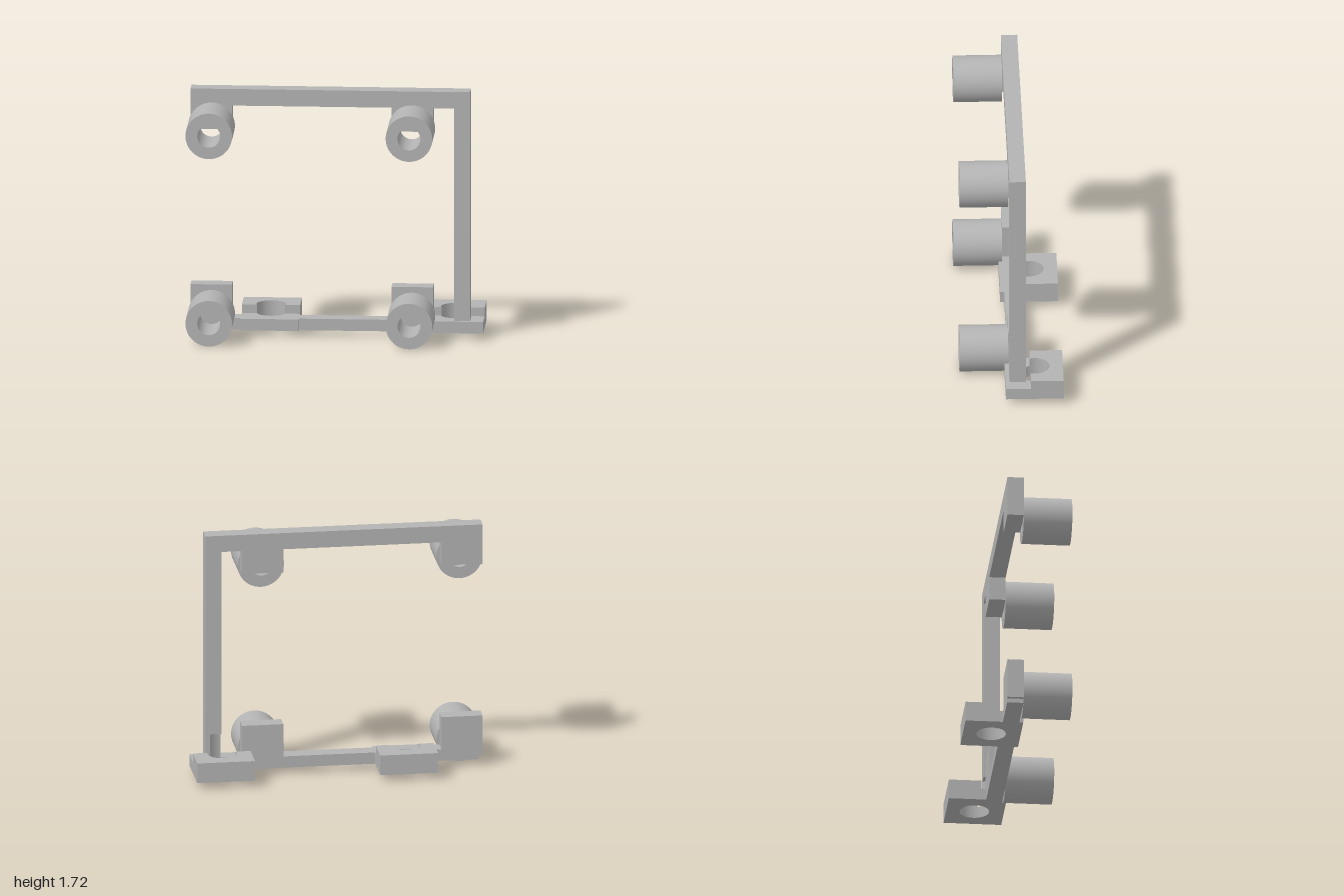
import * as THREE from 'three';
import { toCreasedNormals } from 'three/addons/utils/BufferGeometryUtils.js';

export function createModel() {
  const model = new THREE.Group();
  model.name = 'bracketFrame';
  const grey = new THREE.MeshStandardMaterial({ color: 0xb3b3b3 });
  grey.name = 'plain grey';

  const BACK = -0.093, FRONT = 0.018; // depth of the frame bars
  const HOLE_R = 0.1, HOLE_Z = -0.155; // screw holes in the feet

  function add(name, geometry) {
    const mesh = new THREE.Mesh(geometry, grey);
    mesh.name = name;
    model.add(mesh);
    return mesh;
  }

  function box(name, x0, x1, y0, y1, z0 = BACK, z1 = FRONT) {
    add(name, new THREE.BoxGeometry(x1 - x0, y1 - y0, z1 - z0))
      .position.set((x0 + x1) / 2, (y0 + y1) / 2, (z0 + z1) / 2);
  }

  function extrude(shape, depth) {
    const g = new THREE.ExtrudeGeometry(shape, { depth, bevelEnabled: false, curveSegments: 40 });
    return toCreasedNormals(g, 0.6);
  }

  // plan outline (x, -z) raised from y0 to y1
  function slab(name, shape, y0, y1) {
    add(name, extrude(shape, y1 - y0).rotateX(-Math.PI / 2).translate(0, y0, 0));
  }

  // frame: top rail, post and the bottom rail between the feet
  box('topRail', -0.985, 0.91, 1.605, 1.72);
  box('post', 0.8, 0.91, 0.31, 1.605);
  box('bottomRailEnd', -0.96, -0.645, 0.05, 0.13);
  box('bottomRail', -0.25, 0.605, 0.05, 0.13);

  // foot of the post, with the screw clearance cut from its corner
  const dy = -HOLE_Z + BACK;
  const dx = Math.sqrt(HOLE_R ** 2 - dy ** 2);
  const postFoot = new THREE.Shape();
  postFoot.moveTo(0.8, -FRONT);
  postFoot.lineTo(0.91, -FRONT);
  postFoot.lineTo(0.91, -BACK);
  postFoot.lineTo(0.8 + dx, -BACK);
  postFoot.absarc(0.8, -HOLE_Z, HOLE_R, Math.atan2(-dy, dx), -Math.PI / 2, true);
  postFoot.closePath();
  slab('postFoot', postFoot, 0.13, 0.31);

  // mounting feet: drilled plate with a notched raised pad at the back
  for (const cx of [-0.4475, 0.8025]) {
    const h = 0.1975, zBack = 0.347, zPad = 0.125;
    const plate = new THREE.Shape();
    plate.moveTo(cx - h, -0.045);
    plate.lineTo(cx + h, -0.045);
    plate.lineTo(cx + h, zBack);
    plate.lineTo(cx - h, zBack);
    plate.closePath();
    const hole = new THREE.Path();
    hole.absarc(cx, -HOLE_Z, HOLE_R, 0, Math.PI * 2, true);
    plate.holes.push(hole);
    slab('footPlate', plate, 0.05, 0.13);

    const a = Math.asin((zPad + HOLE_Z) / HOLE_R);
    const c = HOLE_R * Math.cos(a);
    const pad = new THREE.Shape();
    pad.moveTo(cx + c, zPad);
    pad.lineTo(cx + h, zPad);
    pad.lineTo(cx + h, zBack);
    pad.lineTo(cx - h, zBack);
    pad.lineTo(cx - h, zPad);
    pad.lineTo(cx - c, zPad);
    pad.absarc(cx, -HOLE_Z, HOLE_R, Math.PI - a, a, true);
    slab('footPad', pad, 0.13, 0.19);
  }

  // four hollow standoffs, each carried by a backing block
  for (const [x0, cx] of [[-0.985, -0.842], [0.377, 0.515]]) {
    for (const [y0, cy] of [[0.08, 0.163], [1.44, 1.466]]) {
      box('standoffBlock', x0, x0 + 0.281, y0, y0 + 0.28);
      const ring = new THREE.Shape();
      ring.absarc(0, 0, 0.158, 0, Math.PI * 2, false);
      const bore = new THREE.Path();
      bore.absarc(0, 0, 0.078, 0, Math.PI * 2, true);
      ring.holes.push(bore);
      add('standoff', extrude(ring, 0.347 - FRONT)).position.set(cx, cy, FRONT);
    }
  }

  return model;
}
